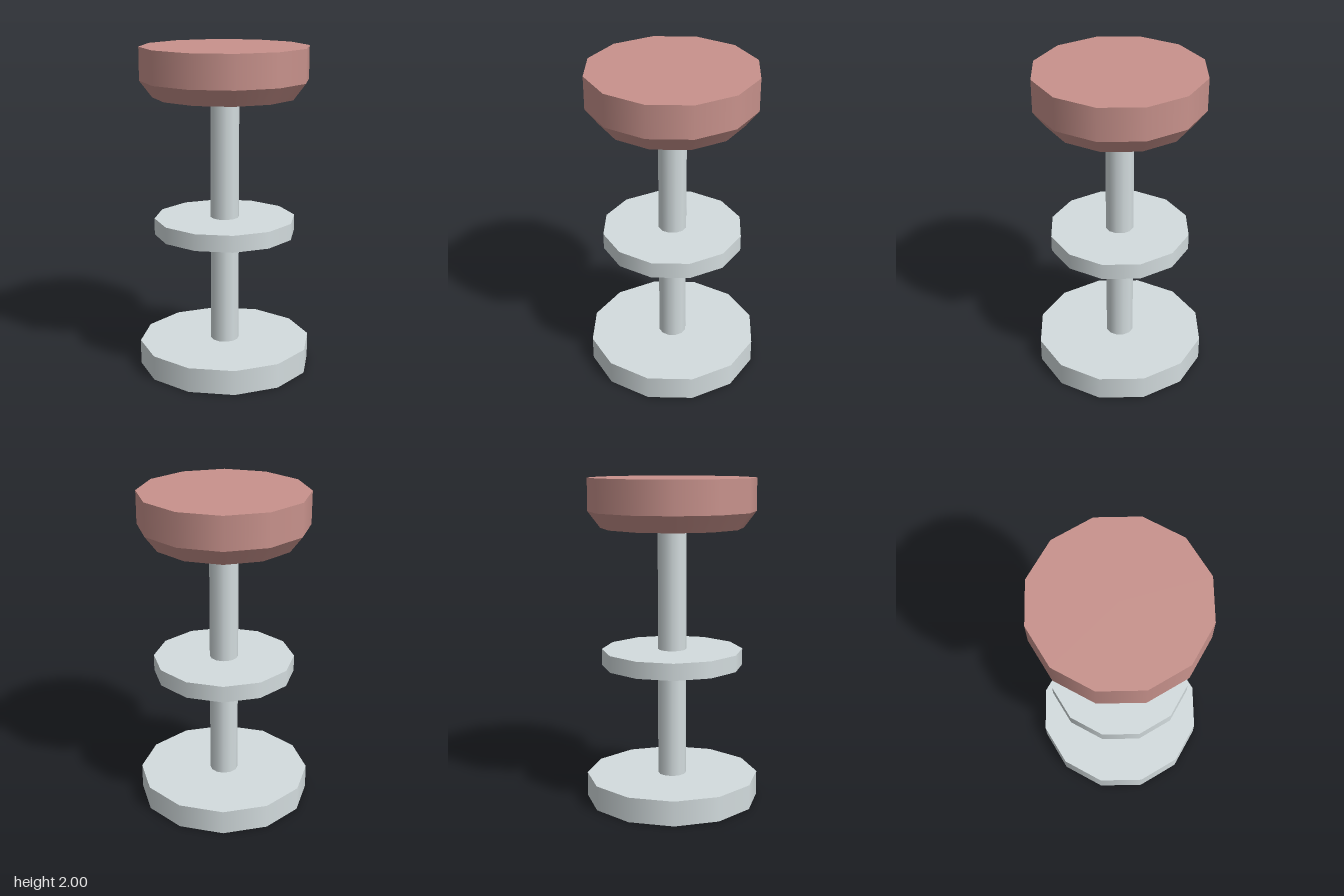
import * as THREE from 'three';

const SIDES = 12;

export function createModel() {
  const stool = new THREE.Group();
  stool.name = 'barStool';

  const metal = new THREE.MeshStandardMaterial({ color: 0xd3dcde });
  metal.name = 'pale metal';
  const cushion = new THREE.MeshStandardMaterial({ color: 0xc8928c });
  cushion.name = 'dusty pink';

  // Upright twelve-sided disc or cone slice between two heights
  function disc(name, material, y0, y1, rBottom, rTop = rBottom, open = false) {
    const geometry = new THREE.CylinderGeometry(rTop, rBottom, y1 - y0, SIDES, 1, open);
    geometry.translate(0, (y0 + y1) / 2, 0);
    const mesh = new THREE.Mesh(geometry, material);
    mesh.name = name;
    return mesh;
  }

  // Base, pole and foot rest
  stool.add(disc('base', metal, 0, 0.153, 0.537));
  stool.add(disc('pole', metal, 0.153, 1.7, 0.088, 0.088, true));
  stool.add(disc('footRest', metal, 0.85, 0.952, 0.436));

  // Seat: straight rim over a tapered underside
  const seat = new THREE.Group();
  seat.name = 'seat';
  seat.add(disc('seatRim', cushion, 1.8, 2, 0.512));
  seat.add(disc('seatUnderside', cushion, 1.7, 1.8, 0.436, 0.512));
  stool.add(seat);

  return stool;
}
